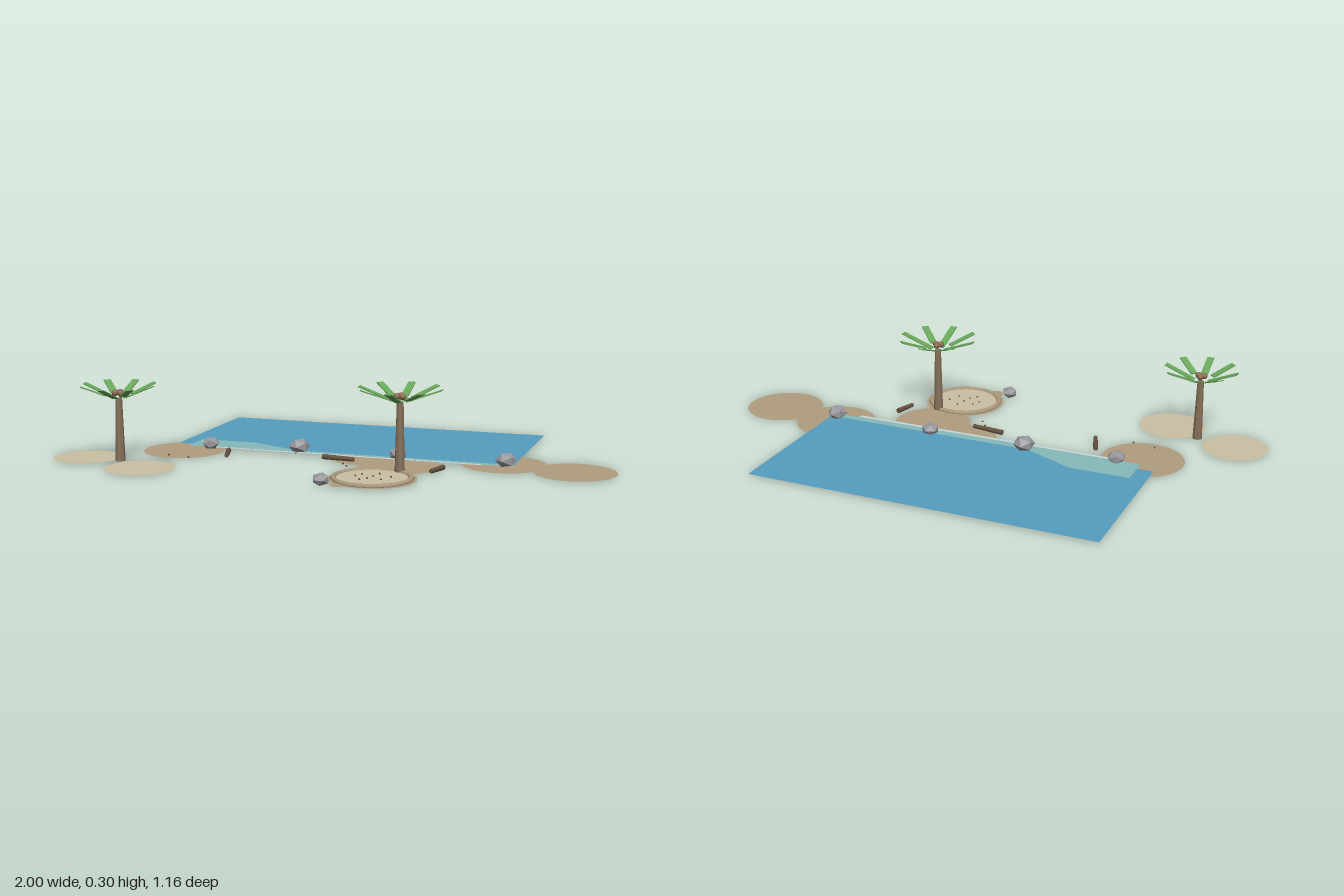
import * as THREE from 'three';

const flat = { flatShading: true };
const mat = (name, color, opts = {}) => {
  const m = new THREE.MeshStandardMaterial({ color, ...opts });
  m.name = name;
  return m;
};
const D = { side: THREE.DoubleSide };
const M = {
  sand: mat('wet sand', 0xb09d80, D),
  drySand: mat('dry sand', 0xc9bfa2, D),
  water: mat('water', 0x559dc0, D),
  shallow: mat('shallow water', 0x86b9ba, D),
  foam: mat('foam', 0xc9d5d8, D),
  rock: mat('rock', 0x98989c, flat),
  trunk: mat('trunk bark', 0x85705a, flat),
  frond: mat('palm leaf', 0x68a65a),
  nut: mat('coconut', 0x8a6c50),
  wood: mat('driftwood', 0x66533f),
};

function add(parent, name, geo, material, x = 0, y = 0, z = 0) {
  const mesh = new THREE.Mesh(geo, material);
  mesh.name = name;
  mesh.position.set(x, y, z);
  parent.add(mesh);
  return mesh;
}

// Flat horizontal disc
function disc(parent, name, material, x, z, r, y) {
  return add(parent, name, new THREE.CircleGeometry(r, 40).rotateX(-Math.PI / 2), material, x, y, z);
}

// Flat horizontal sheet from an outline of [x, z] points
function sheet(parent, name, material, pts, y) {
  const shape = new THREE.Shape(pts.map(([x, z]) => new THREE.Vector2(x, -z)));
  return add(parent, name, new THREE.ShapeGeometry(shape).rotateX(-Math.PI / 2), material, 0, y, 0);
}

// Palm with tapered trunk, eight rising leaves and three coconuts
function palm(x, z, top, reach) {
  const g = new THREE.Group();
  g.name = 'palm';
  g.position.set(x, 0, z);
  const base = 0.008;
  add(g, 'trunk', new THREE.CylinderGeometry(0.012, 0.018, top - base, 9), M.trunk, 0, (top + base) / 2, 0);
  const inner = 0.025, rise = 0.045;
  const length = Math.hypot(reach - inner, rise);
  for (let i = 0; i < 8; i++) {
    const arm = new THREE.Group();
    arm.name = 'leafArm';
    arm.rotation.y = (i * Math.PI) / 4;
    const start = i % 2 ? inner + 0.025 : inner;
    const leaf = add(arm, 'leaf', new THREE.BoxGeometry(length - (start - inner), 0.004, 0.026), M.frond,
      (start + reach) / 2, top + 0.025 + (start - inner) * 0.2, 0);
    leaf.rotation.z = Math.atan2(rise, reach - inner);
    g.add(arm);
  }
  for (let i = 0; i < 3; i++) {
    const a = (i * Math.PI * 2) / 3 + 0.5;
    add(g, 'coconut', new THREE.SphereGeometry(0.012, 10, 8), M.nut,
      Math.cos(a) * 0.012, top + 0.02, Math.sin(a) * 0.012);
  }
  return g;
}

export function createModel() {
  const root = new THREE.Group();
  root.name = 'beach';

  // Sand patches
  [[-0.6, 0.1, 0.152], [0.09, 0.005, 0.148], [0.245, 0.12, 0.145], [0.59, -0.02, 0.152], [0.85, 0.035, 0.147]]
    .forEach(([x, z, r], i) => disc(root, 'sandPatch', M.sand, x, z, r, 0.004 + i * 0.0003));
  disc(root, 'drySandPatch', M.drySand, -0.88, 0.337, 0.12, 0.006);
  disc(root, 'drySandPatch', M.drySand, -0.61, 0.45, 0.125, 0.0065);

  // Sea, shallows and foam line
  sheet(root, 'sea', M.water, [[-0.67, -0.585], [0.63, -0.585], [0.63, 0.02], [-0.67, 0.005]], 0.009);
  sheet(root, 'shallows', M.shallow,
    [[-0.61, -0.085], [-0.385, -0.085], [-0.19, 0.005], [0.63, 0.008], [0.63, 0.025], [0.52, 0.042], [-0.61, 0.042]], 0.0105);
  sheet(root, 'foamLine', M.foam, [[-0.5, 0.038], [0.52, 0.038], [0.52, 0.053], [-0.5, 0.053]], 0.012);

  // Sand pit with raised rim
  const pit = new THREE.Group();
  pit.name = 'sandPit';
  pit.position.set(0.217, 0, 0.362);
  root.add(pit);
  disc(pit, 'pitBase', M.sand, 0, 0, 0.153, 0.007);
  const rim = add(pit, 'pitRim', new THREE.TorusGeometry(0.133, 0.01, 6, 40).rotateX(Math.PI / 2), M.sand, 0, 0.011, 0);
  rim.scale.y = 0.8;
  disc(pit, 'pitFloor', M.drySand, 0, 0, 0.126, 0.012);
  [[-0.06, 0], [-0.045, -0.03], [0, -0.012], [0.04, 0.03], [-0.03, 0.05], [0.01, -0.055], [0.06, -0.02], [-0.01, 0.025]]
    .forEach(([x, z]) => add(pit, 'pebble', new THREE.IcosahedronGeometry(0.004, 0), M.wood, x, 0.014, z));
  disc(root, 'smallSandPatch', M.sand, 0.142, 0.485, 0.035, 0.0075);

  // Loose pebbles on the beach
  [[-0.525, 0.23], [0.07, 0.195], [-0.61, 0.215], [0.045, 0.16]]
    .forEach(([x, z]) => add(root, 'pebble', new THREE.IcosahedronGeometry(0.004, 0), M.wood, x, 0.008, z));

  // Rocks
  [[-0.52, 0.04, 0.034, 0.3], [-0.175, 0.012, 0.041, 1.1], [0.205, 0.012, 0.034, 2], [0.603, 0.012, 0.039, 0.8], [0.078, 0.49, 0.032, 1.6]]
    .forEach(([x, z, r, turn]) => {
      const rock = add(root, 'rock', new THREE.IcosahedronGeometry(r, 0), M.rock, x, r * 0.72, z);
      rock.scale.y = 0.72;
      rock.rotation.y = turn;
    });

  // Driftwood logs, each between two ground points
  [[-0.42, 0.105, -0.387, 0.2], [-0.05, 0.105, 0.073, 0.122], [0.408, 0.145, 0.385, 0.225]]
    .forEach(([x1, z1, x2, z2]) => {
      const dir = new THREE.Vector3(x2 - x1, 0, z2 - z1);
      const geo = new THREE.CylinderGeometry(0.008, 0.01, dir.length(), 7);
      const log = add(root, 'driftwood', geo, M.wood, (x1 + x2) / 2, 0.016, (z1 + z2) / 2);
      log.quaternion.setFromUnitVectors(new THREE.Vector3(0, 1, 0), dir.normalize());
    });

  // Palms
  root.add(palm(-0.73, 0.365, 0.235, 0.135));
  root.add(palm(0.28, 0.245, 0.255, 0.148));
  return root;
}
